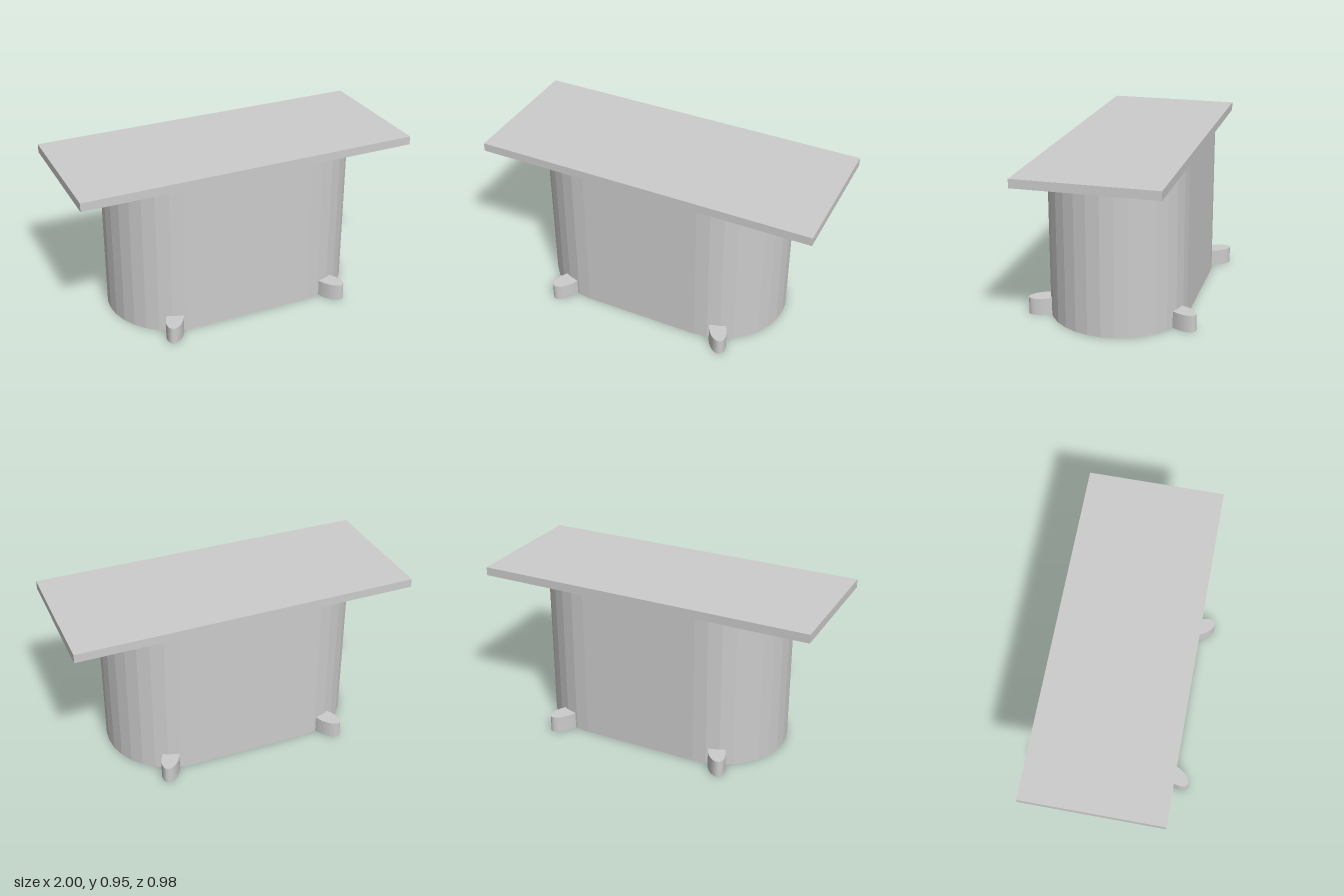
import * as THREE from 'three';

const HALF_PI = Math.PI / 2;

// Extrudes a plan outline upwards from y = 0
function extrudeUp(shape, height, curveSegments) {
  const geometry = new THREE.ExtrudeGeometry(shape, { depth: height, bevelEnabled: false, curveSegments });
  return geometry.rotateX(-HALF_PI);
}

export function createModel() {
  const group = new THREE.Group();
  const material = new THREE.MeshStandardMaterial({ color: 0xcccccc, flatShading: true });

  const add = (name, geometry, x = 0, y = 0, z = 0) => {
    const mesh = new THREE.Mesh(geometry, material);
    mesh.name = name;
    mesh.position.set(x, y, z);
    group.add(mesh);
    return mesh;
  };

  // Base with straight sides and half-round ends
  const outline = new THREE.Shape();
  outline.moveTo(-0.35, -0.4);
  outline.lineTo(0.35, -0.4);
  outline.absarc(0.35, 0, 0.4, -HALF_PI, HALF_PI, false);
  outline.lineTo(-0.35, 0.4);
  outline.absarc(-0.35, 0, 0.4, HALF_PI, 3 * HALF_PI, false);
  add('base', extrudeUp(outline, 0.9, 8));

  // Flat rectangular top
  add('top', new THREE.BoxGeometry(2, 0.05, 0.8), 0, 0.925, 0);

  // Four oval feet, splayed outwards by 30 degrees
  const footGeometry = new THREE.CylinderGeometry(0.1, 0.1, 0.1, 32).scale(0.5, 1, 1);
  for (const [zName, sz] of [['front', 1], ['back', -1]]) {
    for (const [xName, sx] of [['Left', 1], ['Right', -1]]) {
      const foot = add(`${zName}${xName}Foot`, footGeometry, sx * 0.5, 0.05, sz * 0.4);
      foot.rotation.y = sx * sz * Math.PI / 6;
    }
  }

  return group;
}
